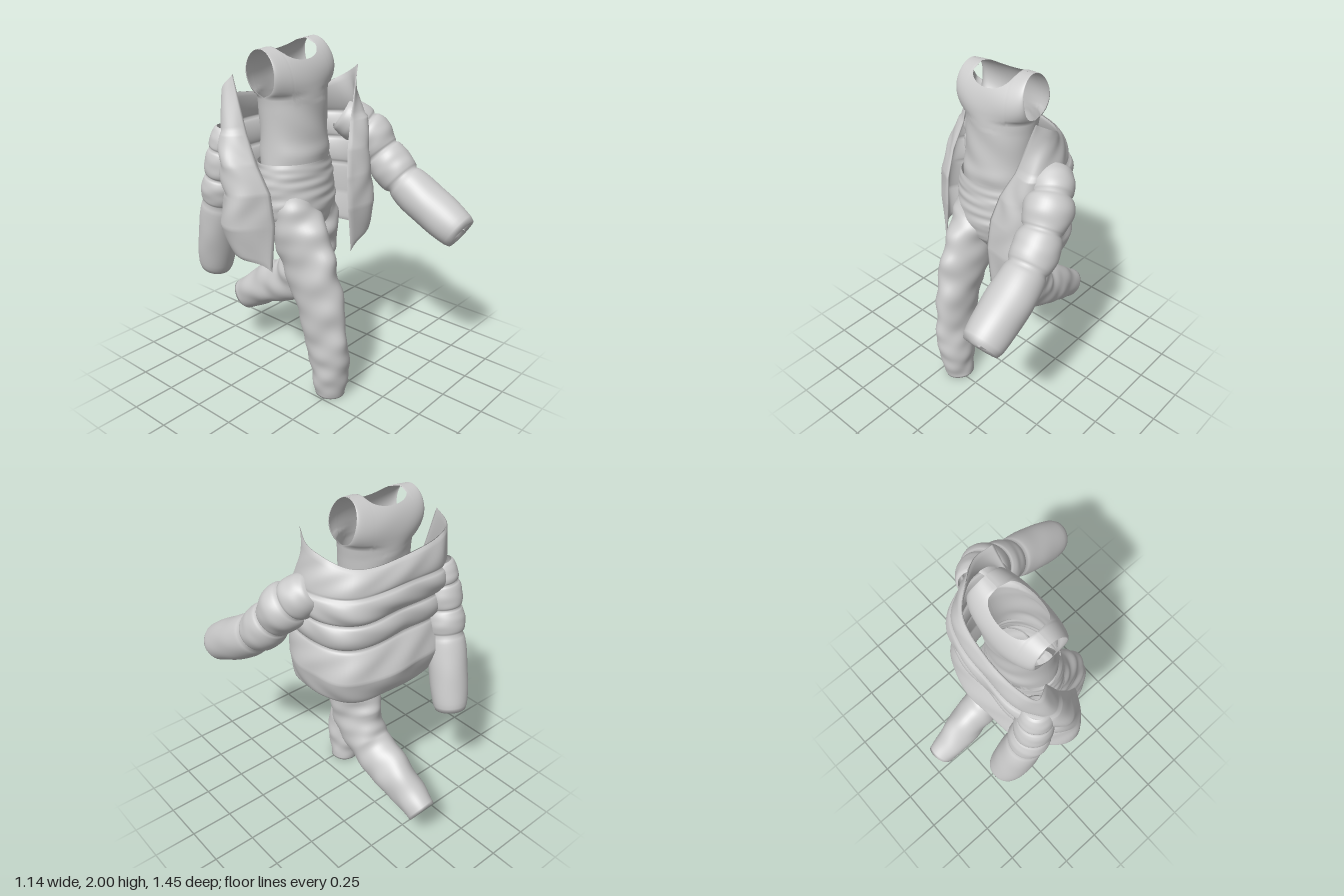
import * as THREE from 'three';

const material = new THREE.MeshStandardMaterial({ color: 0xcccccc, side: THREE.DoubleSide });
const { lerp, smoothstep } = THREE.MathUtils;
const TAU = Math.PI * 2;

// Smooth surface from fn(u, v) -> [x, y, z]; closed joins the last column to the first.
function surface(name, nu, nv, closed, fn) {
  const pos = [], idx = [], cols = closed ? nu : nu + 1;
  for (let j = 0; j <= nv; j++)
    for (let i = 0; i < cols; i++) pos.push(...fn(i / nu, j / nv));
  for (let j = 0; j < nv; j++)
    for (let i = 0; i < nu; i++) {
      const a = j * cols + i, b = j * cols + (i + 1) % cols;
      idx.push(a, b, a + cols, b, b + cols, a + cols);
    }
  const geo = new THREE.BufferGeometry();
  geo.setAttribute('position', new THREE.Float32BufferAttribute(pos, 3));
  geo.setIndex(idx);
  geo.computeVertexNormals();
  const mesh = new THREE.Mesh(geo, material);
  mesh.name = name;
  return mesh;
}

// Cloth tube through stations [x, y, z, rx, rz]. Each span can be puffed; wrinkle adds folds.
function clothTube(name, stations, { puff = 0, wrinkle = 0 } = {}) {
  const path = new THREE.CatmullRomCurve3(stations.map(s => new THREE.Vector3(s[0], s[1], s[2])));
  const radii = new THREE.CatmullRomCurve3(stations.map(s => new THREE.Vector3(s[3], s[4] ?? s[3], 0)));
  const spans = stations.length - 1, nv = spans * 16, total = nv + 2;
  return surface(name, 48, total, true, (u, v) => {
    const row = Math.round(v * total), extra = Math.max(0, row - nv);
    const k = Math.min(row / nv, 1), th = u * TAU;
    const c = path.getPoint(k), r = radii.getPoint(k), t = path.getTangent(k);
    const side = new THREE.Vector3(1, 0, 0).addScaledVector(t, -t.x).normalize();
    const depth = new THREE.Vector3().crossVectors(side, t);
    const f = (k * spans) % 1;
    let m = 1 + 0.03 * puff - puff * (1 - Math.pow(Math.max(0, Math.sin(Math.PI * f)), 0.45));
    m += wrinkle * (Math.sin(k * 34 + 2 * Math.sin(th + k * 5)) * 0.5
      + Math.sin(3 * th + k * 19) * 0.45 + Math.sin(k * 61 - 2 * th) * 0.35
      + Math.sin(k * 47 + 3 * th + Math.sin(2 * th)) * 0.3);
    // The cuff folds inward
    if (extra) { m *= extra === 1 ? 0.75 : 0.3; c.addScaledVector(t, -0.012 * extra * (1 + Math.sin(2 * th))); }
    c.addScaledVector(side, Math.cos(th) * r.x * m).addScaledVector(depth, Math.sin(th) * r.y * m);
    return [c.x, Math.max(0, c.y), c.z];
  });
}

// One half of the tank top: sign +1 front, -1 back
function tankHalf(name, sign) {
  const widths = new THREE.CatmullRomCurve3(
    [[0.212, -0.1], [0.205, -0.095], [0.213, -0.09], [0.232, -0.092], [0.212, -0.105]]
      .map(p => new THREE.Vector3(p[0], p[1], 0)));
  return surface(name, 60, 50, false, (u, v) => {
    const s = -Math.cos(Math.PI * u);
    const neck = Math.max(0, 1 - (s / 0.62) ** 2);
    const seam = 1.985 + 0.015 * s;
    const top = seam - (sign > 0 ? 0.075 : 0.045) * Math.sqrt(neck);
    const y = lerp(1.35, top, 1 - (1 - v) ** 1.6);
    const w = widths.getPoint(Math.min(1, (y - 1.35) / 0.65));
    const d = 0.162 * Math.sqrt(Math.max(0, 1 - Math.max(0, (y - seam + 0.2) / 0.2) ** 2));
    // Armhole opening
    const hole = 0.1 * Math.sqrt(Math.max(0, 1 - ((y - seam + 0.12) / 0.12) ** 2));
    const band = 0.012 * Math.exp(-(((y - 1.42) / 0.045) ** 2));
    const fold = 0.003 * Math.sin(y * 30 + s * 4) * (y < 1.7 ? 1 : 0.3);
    const open = Math.min(hole, d);
    const z = lerp(-0.08, -0.118, (y - 1.35) / 0.65)
      + sign * (open + (d + band + fold - open) * Math.sqrt(Math.max(0, 1 - s * s)));
    return [w.y + s * w.x, y, z];
  });
}

// Open padded jacket body: rows of [y, x, z, x, z ...] from its left front edge round the back
function jacketBody() {
  const rows = [
    [0.88, 0.08, 0.18, 0.25, 0.16, 0.28, -0.05, 0.19, -0.27, -0.1, -0.33, -0.39, -0.27, -0.51, -0.1, -0.42, 0.04],
    [1.07, 0.05, 0.18, 0.26, 0.17, 0.31, -0.05, 0.22, -0.29, -0.1, -0.36, -0.42, -0.29, -0.55, -0.11, -0.39, 0.04],
    [1.25, 0.06, 0.16, 0.25, 0.15, 0.3, -0.06, 0.2, -0.27, -0.1, -0.31, -0.39, -0.28, -0.53, -0.12, -0.4, 0.02],
    [1.40, 0.1, 0.13, 0.25, 0.13, 0.31, -0.08, 0.2, -0.28, -0.1, -0.32, -0.39, -0.3, -0.52, -0.17, -0.42, -0.05],
    [1.55, 0.17, 0.09, 0.29, 0.09, 0.33, -0.08, 0.2, -0.28, -0.1, -0.34, -0.38, -0.32, -0.48, -0.21, -0.41, -0.13],
    [1.68, 0.27, 0.06, 0.3, -0.04, 0.25, -0.14, 0.15, -0.25, -0.1, -0.31, -0.32, -0.31, -0.43, -0.28, -0.41, -0.22],
  ];
  const curves = rows.map(r => {
    const pts = [];
    for (let i = 1; i < r.length; i += 2) pts.push(new THREE.Vector3(r[i], r[0], r[i + 1]));
    return new THREE.CatmullRomCurve3(pts);
  });
  return surface('jacketBody', 160, 70, true, (u, v) => {
    const outer = u <= 0.5, s = outer ? u * 2 : 2 - u * 2;
    const k = v * (rows.length - 1), i = Math.min(Math.floor(k), rows.length - 2);
    const p = curves[i].getPoint(s).lerp(curves[i + 1].getPoint(s), k - i);
    const t = curves[i].getTangent(s).lerp(curves[i + 1].getTangent(s), k - i).normalize();
    // Quilted bands across the back, long smooth padding on the front panels
    const f = k < 2 ? k / 2 : k % 1, ends = Math.abs(2 * s - 1);
    const bands = Math.pow(Math.max(0, Math.sin(Math.PI * f)), 0.5);
    const panel = Math.pow(Math.max(0, Math.sin(Math.PI * v)), 0.35);
    const puff = lerp(bands, panel, smoothstep(ends, 0.5, 0.72));
    const taper = Math.pow(Math.max(0, Math.sin(Math.PI * s)), 0.4);
    const collar = k > 4 ? 0.6 : 1;
    const crease = 0.006 * Math.sin(s * 45 + 3 * Math.sin(k * 2)) * puff;
    const off = (outer ? 0.036 * puff + 0.004 + crease : -0.022 * puff - 0.004) * taper * collar;
    const lift = Math.max(0, k - 4) * 0.165 * ends ** 1.5 - Math.max(0, 1 - k) * 0.07 * ends ** 9;
    const sag = 0.015 * Math.sin(s * 13) * (1 - ends) + 0.03 * Math.max(0, 1 - k) * (1 - ends);
    return [p.x - t.z * off, p.y + lift + sag, p.z + t.x * off];
  });
}

export function createModel() {
  const model = new THREE.Group();

  // Tank top
  const tank = new THREE.Group();
  tank.name = 'tankTop';
  tank.add(tankHalf('tankFront', 1), tankHalf('tankBack', -1));

  // Trousers in mid-stride
  const trousers = new THREE.Group();
  trousers.name = 'trousers';
  trousers.add(
    clothTube('hips', [
      [-0.105, 1.37, -0.08, 0.222, 0.178], [-0.105, 1.26, -0.075, 0.24, 0.187],
      [-0.1, 1.13, -0.065, 0.245, 0.19], [-0.085, 1.0, -0.05, 0.17, 0.15], [-0.085, 0.93, -0.04, 0.06, 0.08],
    ], { wrinkle: 0.014 }),
    clothTube('rightLeg', [
      [-0.19, 1.24, -0.06, 0.12, 0.11], [-0.2, 1.08, -0.01, 0.132, 0.15], [-0.195, 0.88, 0.075, 0.115, 0.18],
      [-0.195, 0.65, 0.16, 0.103, 0.165], [-0.188, 0.4, 0.215, 0.093, 0.14],
      [-0.168, 0.2, 0.235, 0.098, 0.125], [-0.157, 0.01, 0.23, 0.088, 0.085],
    ], { wrinkle: 0.055 }),
    clothTube('leftLeg', [
      [0, 1.22, -0.08, 0.12, 0.12], [0.035, 1.05, -0.09, 0.135, 0.165], [0.055, 0.87, -0.1, 0.14, 0.165],
      [0.06, 0.7, -0.145, 0.127, 0.16], [0.055, 0.535, -0.24, 0.117, 0.14],
      [0.04, 0.425, -0.43, 0.11, 0.13], [0.025, 0.27, -0.67, 0.08, 0.095],
    ], { wrinkle: 0.055 }),
  );

  // Padded jacket slipping off the shoulders
  const jacket = new THREE.Group();
  jacket.name = 'jacket';
  jacket.add(
    jacketBody(),
    clothTube('leftSleeve', [
      [0.285, 1.545, -0.07, 0.105], [0.36, 1.465, 0.03, 0.125], [0.4, 1.325, 0.145, 0.125],
      [0.425, 1.18, 0.285, 0.128], [0.455, 0.935, 0.675, 0.122],
    ], { puff: 0.2, wrinkle: 0.015 }),
    clothTube('rightSleeve', [
      [-0.41, 1.56, -0.265, 0.08], [-0.425, 1.44, -0.285, 0.1], [-0.43, 1.29, -0.31, 0.108],
      [-0.425, 1.14, -0.345, 0.112], [-0.38, 0.69, -0.465, 0.11],
    ], { puff: 0.2, wrinkle: 0.015 }),
  );

  model.add(tank, trousers, jacket);
  return model;
}
